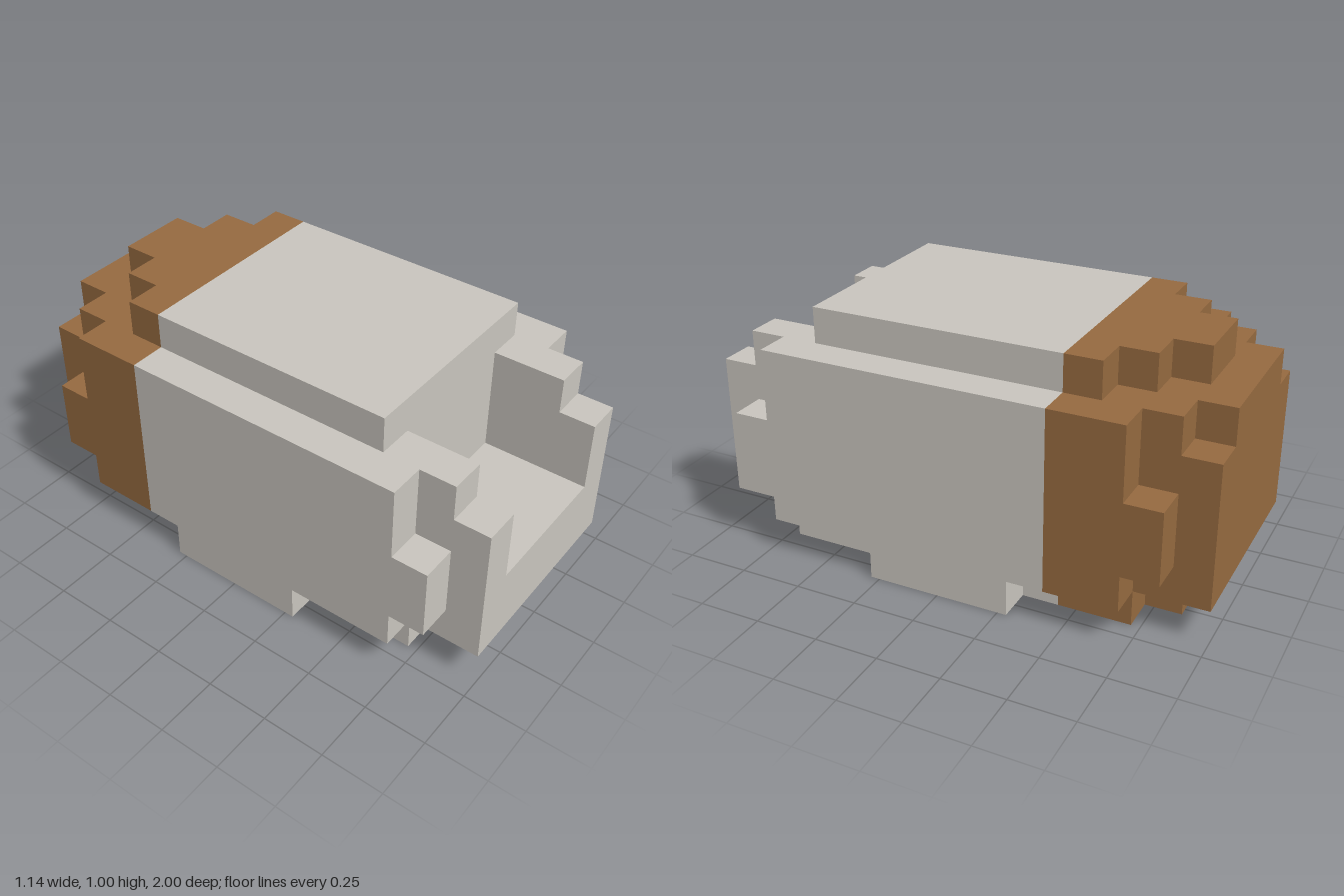
import * as THREE from 'three';

const U = 1 / 7; // one block

export function createModel() {
  const model = new THREE.Group();
  model.name = 'blockyBarrel';

  const grey = new THREE.MeshStandardMaterial({ color: 0xc9c5be });
  grey.name = 'pale grey';
  const brown = new THREE.MeshStandardMaterial({ color: 0x966a40 });
  brown.name = 'brown';

  // Box between two corners given in blocks
  function block(name, material, [x0, x1], [y0, y1], [z0, z1]) {
    const geometry = new THREE.BoxGeometry((x1 - x0) * U, (y1 - y0) * U, (z1 - z0) * U);
    const mesh = new THREE.Mesh(geometry, material);
    mesh.name = name;
    mesh.position.set((x0 + x1) * U / 2, (y0 + y1) * U / 2, (z0 + z1) * U / 2);
    model.add(mesh);
  }
  // Centred block reaching w to either side
  const centre = (name, material, w, y, z) => block(name, material, [-w, w], y, z);
  // Mirrored pair of blocks
  function pair(name, material, [x0, x1], y, z) {
    block(name + 'Left', material, [x0, x1], y, z);
    block(name + 'Right', material, [-x1, -x0], y, z);
  }

  // Grey front section: body, lid and sides
  centre('body', grey, 3, [1, 6], [-3, 4]);
  centre('lid', grey, 3, [6, 7], [-3, 4]);
  pair('side', grey, [3, 4], [1, 6], [-3, 5]);
  pair('sideFrontRidge', grey, [3, 4], [2, 4], [5, 6]);

  // Front opening: sill and stepped posts
  centre('frontSill', grey, 3, [1, 3], [4, 7]);
  pair('post', grey, [2, 3], [3, 6], [4, 6]);
  pair('frontPost', grey, [2, 3], [3, 5], [6, 7]);

  // Stepped base
  centre('base', grey, 3, [0, 1], [-3, 5]);
  centre('baseFrontStep', grey, 2, [0, 1], [5, 6]);
  pair('baseSideStep', grey, [3, 4], [0, 1], [-2, 2]);

  // Brown rear section
  centre('rearBody', brown, 3, [1, 6], [-6, -3]);
  pair('rearSide', brown, [3, 4], [1, 6], [-5, -3]);
  pair('rearSideRidge', brown, [3, 4], [2, 4], [-6, -5]);
  centre('rearPlate', brown, 3, [1, 5], [-7, -6]);
  centre('rearPlateTop', brown, 2, [5, 6], [-7, -6]);
  centre('rearBase', brown, 3, [0, 1], [-5, -3]);
  centre('rearBaseStep', brown, 2, [0, 1], [-6, -5]);

  // Rear lid narrowing in three steps
  for (let i = 0; i < 3; i++) {
    centre('rearLidStep' + (i + 1), brown, 3 - i, [6, 7], [-4 - i, -3 - i]);
  }

  return model;
}
